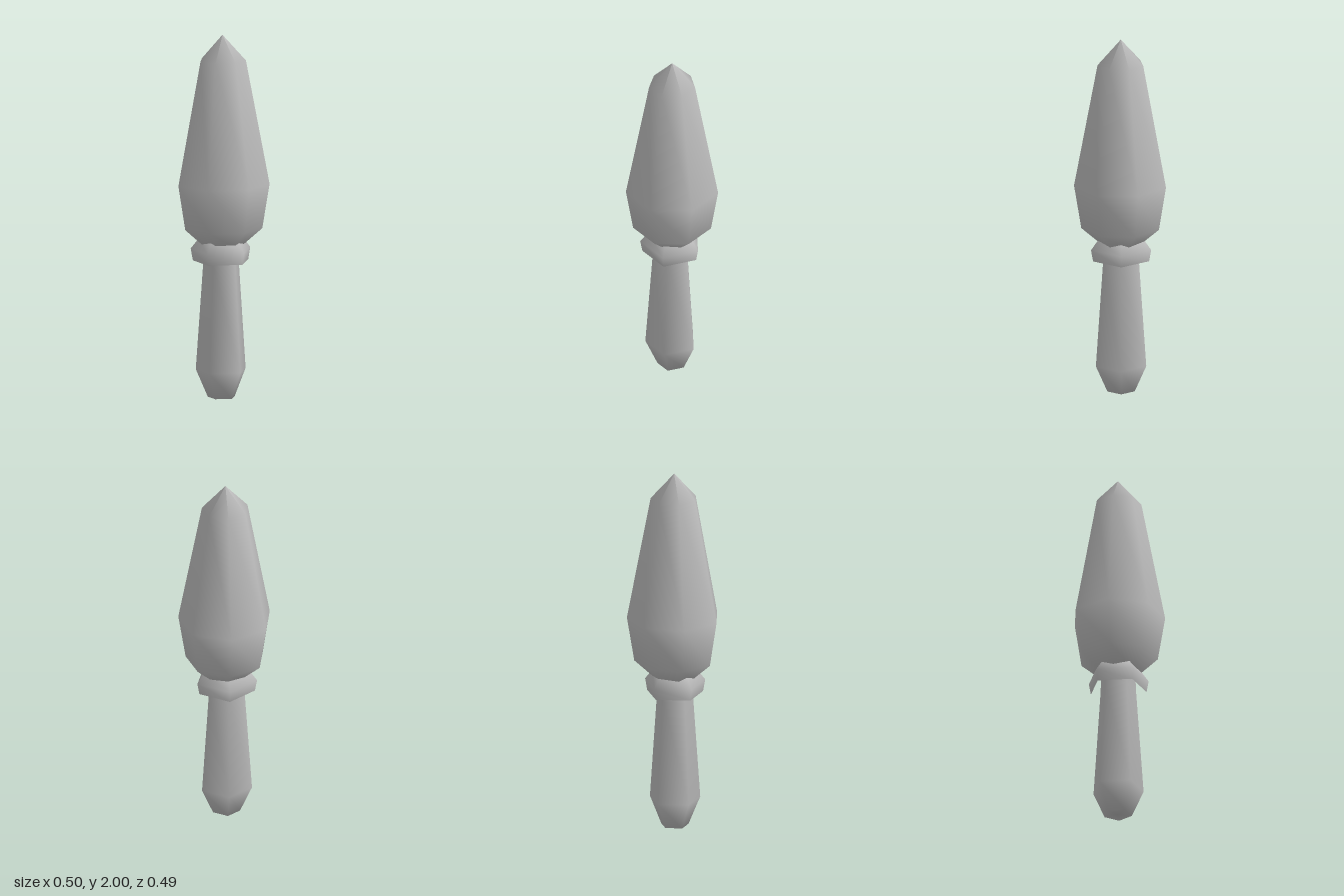
import * as THREE from 'three';

const AXIS_Z = 0.012;

// Smooth-shaded revolved part with few sides; one corner points to the back (-z)
function turned(name, sides, profile, material, x = 0) {
  const points = profile.map(([r, y]) => new THREE.Vector2(r, y));
  const mesh = new THREE.Mesh(new THREE.LatheGeometry(points, sides, Math.PI), material);
  mesh.name = name;
  mesh.position.set(x, 0, AXIS_Z);
  return mesh;
}

export function createModel() {
  const model = new THREE.Group();
  model.name = 'taperedTree';
  const grey = new THREE.MeshStandardMaterial({ color: 0xbcbcbc });
  grey.name = 'plain grey';

  // Seven-sided bulb, tapering to a point
  model.add(turned('crown', 7, [
    [0.115, 0.845], [0.217, 0.935], [0.257, 1.18], [0.128, 1.86], [0, 2],
  ], grey));

  // Five-sided collar, open underneath
  model.add(turned('collar', 5, [
    [0.16, 0.75], [0.172, 0.815], [0.13, 0.87],
  ], grey, -0.003));

  // Five-sided shaft with a narrowed foot
  model.add(turned('shaft', 5, [
    [0, 0], [0.078, 0], [0.144, 0.15], [0.102, 0.75], [0.098, 0.86],
  ], grey, -0.003));

  return model;
}
